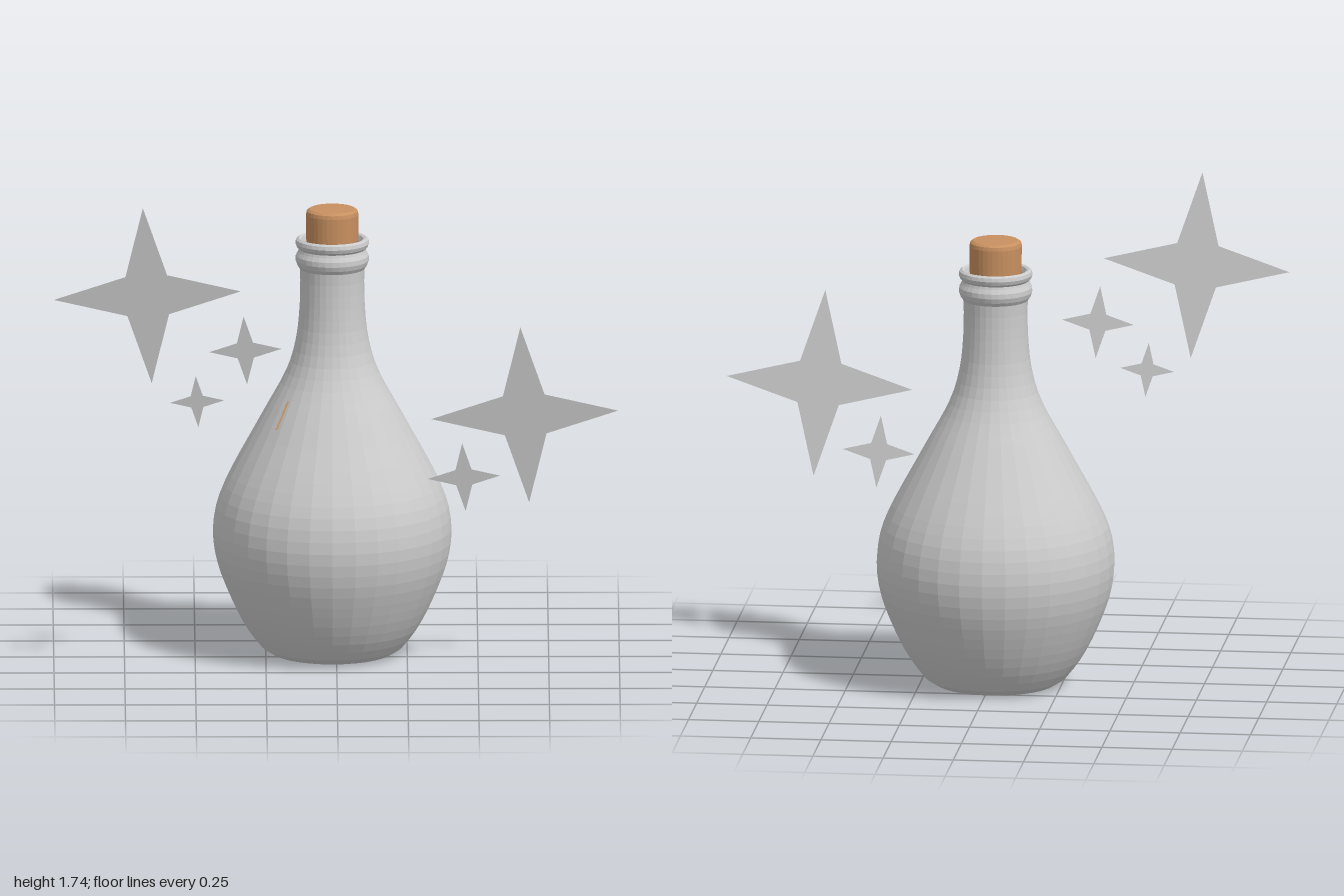
import * as THREE from 'three';

const glass = new THREE.MeshStandardMaterial({ color: 0xcccccc, flatShading: true, side: THREE.DoubleSide });
glass.name = 'pale grey glass';
const corkMat = new THREE.MeshStandardMaterial({ color: 0xc89060, flatShading: true });
corkMat.name = 'cork brown';

const SEGMENTS = 32;
const v2 = (p) => new THREE.Vector2(p[0], p[1]);

function addMesh(parent, name, geometry, material) {
  const mesh = new THREE.Mesh(geometry, material);
  mesh.name = name;
  parent.add(mesh);
  return mesh;
}

// Four-pointed star, slightly turned in its own plane
function starGeometry(radius) {
  const points = [];
  for (let i = 0; i < 8; i++) {
    const r = i % 2 ? radius * 0.315 : radius;
    const a = (i * Math.PI) / 4 + 0.048;
    points.push(new THREE.Vector2(r * Math.cos(a), r * Math.sin(a)));
  }
  return new THREE.ShapeGeometry(new THREE.Shape(points));
}

export function createModel() {
  const model = new THREE.Group();
  model.name = 'corkedBottle';

  const bottle = new THREE.Group();
  bottle.name = 'bottle';
  bottle.position.set(-0.015, 0, -0.072);
  model.add(bottle);

  // Body: smooth belly running up into the neck
  const belly = new THREE.SplineCurve([
    [0.215, 0.005], [0.245, 0.022], [0.27, 0.05], [0.312, 0.11], [0.358, 0.2],
    [0.404, 0.32], [0.422, 0.43], [0.412, 0.53], [0.385, 0.61], [0.34, 0.7],
    [0.285, 0.8], [0.23, 0.9], [0.18, 0.99], [0.146, 1.07], [0.125, 1.16],
    [0.116, 1.25], [0.113, 1.34], [0.115, 1.395],
  ].map(v2)).getSpacedPoints(36);

  // Two rolled rings, the lip, and the inside of the neck
  const rim = [
    [0.124, 1.408], [0.130, 1.425], [0.129, 1.442], [0.121, 1.457], [0.118, 1.466],
    [0.126, 1.474], [0.131, 1.487], [0.128, 1.5], [0.119, 1.506], [0.109, 1.502],
    [0.102, 1.485], [0.1, 1.45], [0.1, 1.25],
  ].map(v2);
  addMesh(bottle, 'bottleBody',
    new THREE.LatheGeometry([v2([0, 0]), v2([0.19, 0]), ...belly, ...rim], SEGMENTS), glass);

  // Cork stopper with a softened top edge
  const corkProfile = [[0, 1.3], [0.084, 1.3], [0.092, 1.5], [0.093, 1.59], [0.09, 1.603], [0.08, 1.61], [0, 1.612]];
  addMesh(bottle, 'cork', new THREE.LatheGeometry(corkProfile.map(v2), SEGMENTS), corkMat);

  // Thin brown sliver showing through the shoulder
  const sliver = addMesh(bottle, 'sliver', new THREE.BoxGeometry(0.006, 0.11, 0.006), corkMat);
  sliver.position.set(-0.177, 0.895, 0.157);
  sliver.quaternion.setFromUnitVectors(
    new THREE.Vector3(0, 1, 0), new THREE.Vector3(0.36, 0.82, -0.3).normalize());

  // Sparkles floating in front, all leaning the same way
  const sparkles = new THREE.Group();
  sparkles.name = 'sparkles';
  model.add(sparkles);
  [
    ['largeSparkleRight', 0.331, -0.671, 1.414, 0.442],
    ['largeSparkleLeft', 0.331, 0.664, 0.965, 0.377],
    ['smallSparkleNeck', 0.128, -0.324, 1.206, 0.405],
    ['tinySparkle', 0.096, -0.495, 1.029, 0.441],
    ['smallSparkleLeft', 0.128, 0.449, 0.73, 0.34],
  ].forEach(([name, radius, x, y, z]) => {
    const star = addMesh(sparkles, name, starGeometry(radius), glass);
    star.position.set(x, y, z);
    star.rotation.x = 0.133;
  });

  return model;
}
